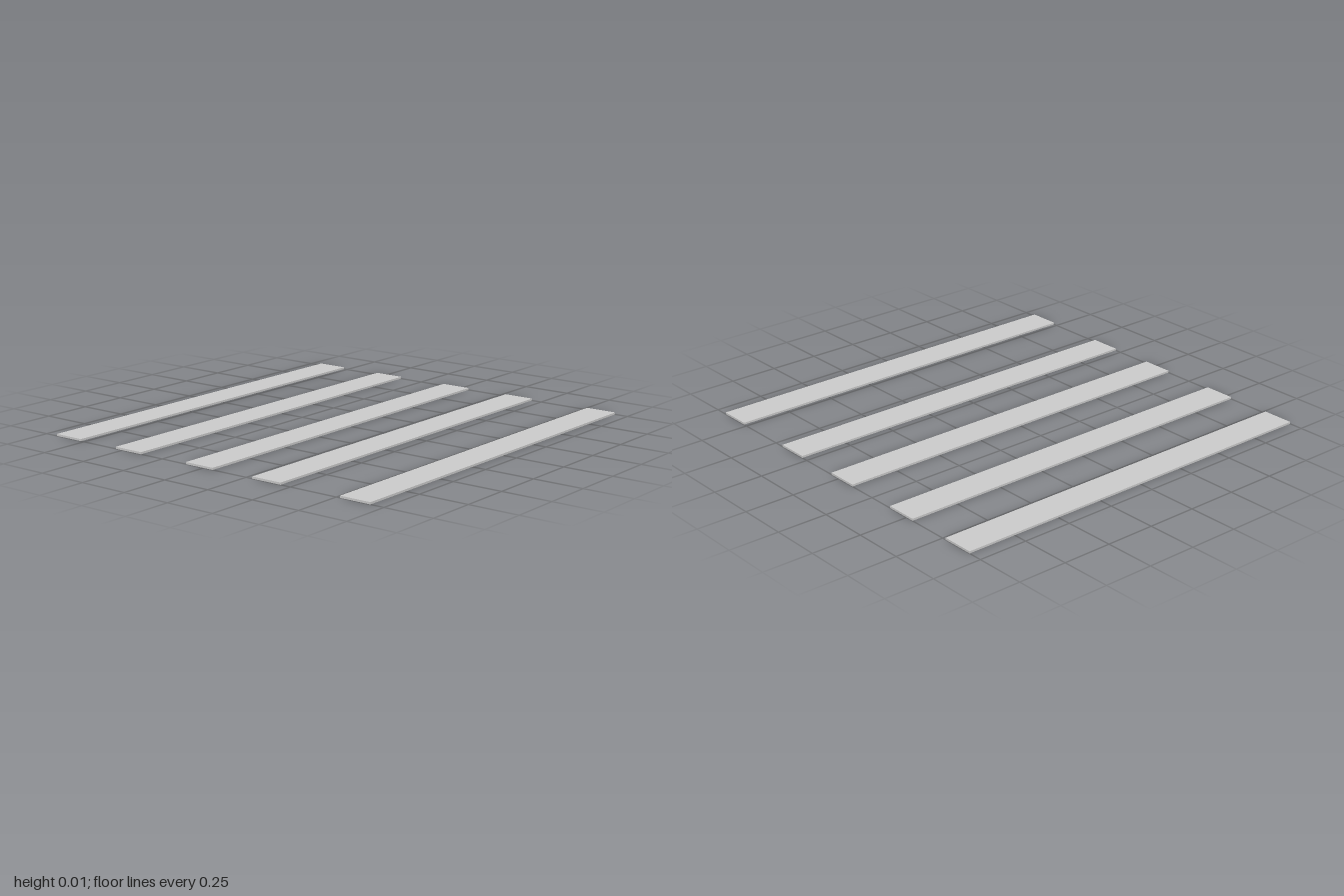
import * as THREE from 'three';

const WIDTH = 0.16, THICKNESS = 0.01, LENGTH = 2;
const CENTERS_X = [-0.85, -0.462, -0.025, 0.365, 0.85];

export function createModel() {
  const model = new THREE.Group();
  model.name = 'slats';
  const material = new THREE.MeshStandardMaterial({ color: 0xcccccc });
  const geometry = new THREE.BoxGeometry(WIDTH, THICKNESS, LENGTH);

  // Flat parallel slats, unevenly spaced and lying on the ground
  CENTERS_X.forEach((x, i) => {
    const slat = new THREE.Mesh(geometry, material);
    slat.name = `slat${i + 1}`;
    slat.position.set(x, THICKNESS / 2, 0);
    model.add(slat);
  });

  return model;
}
